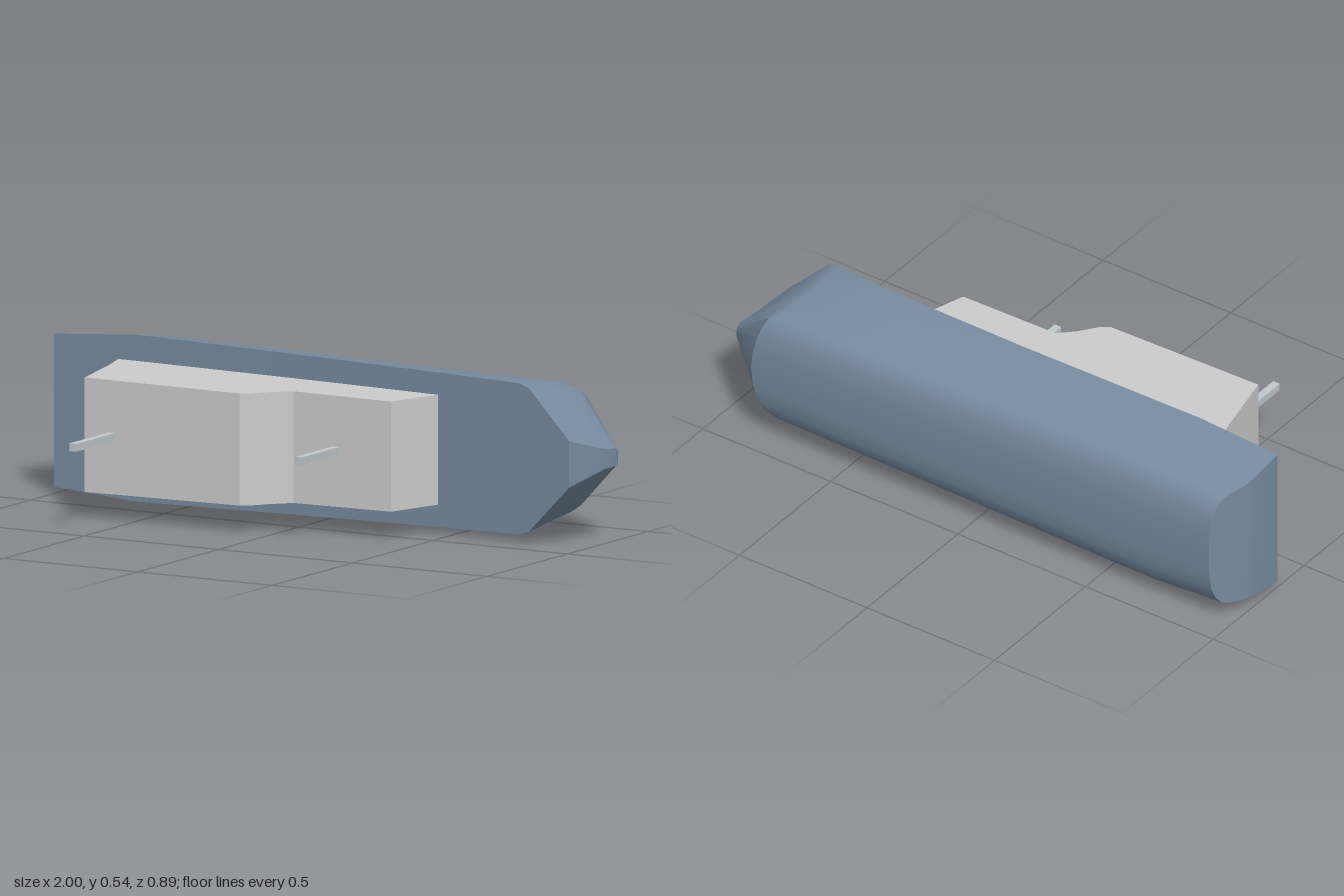
import * as THREE from 'three';
import { toCreasedNormals } from 'three/addons/utils/BufferGeometryUtils.js';

const MID = 0.27; // height of the hull's plane of symmetry

// The boat lies on its side: bow toward +x, deck toward +z, beam along y.
// Each level of a half section: [share of half beam, z, bow-ward shift at the shoulder]
const LEVELS = [
  [1, null, 0], [0.935, -0.25, 0], [0.9, -0.31, 0.01], [0.86, -0.37, 0.02], [0.8, -0.4, 0.035],
  [0.69, -0.422, 0.05], [0.52, -0.437, 0.07], [0.28, -0.444, 0.09], [0, -0.445, 0.1],
];
// Each station: [x, half beam, deck z, share of the shoulder shift]
const STATIONS = [
  [-1, 0.248, -0.145, 0], [-0.7, 0.27, -0.15, 0], [-0.6, 0.269, -0.15, 0], [0, 0.258, -0.143, 0],
  [0.45, 0.25, -0.129, 0], [0.75, 0.245, -0.113, 0.85], [0.79, 0.232, -0.111, 0.6],
];
// Stem, level by level: [x, half width, z]
const STEM = [
  [0.945, 0.075, -0.102], [0.99, 0.032, -0.25], [1, 0.029, -0.3], [0.999, 0.026, -0.308], [0.998, 0.022, -0.313],
  [0.997, 0.017, -0.317], [0.996, 0.011, -0.32], [0.995, 0.006, -0.322], [0.995, 0, -0.323],
];

function hullGeometry() {
  // Mirror a half section into a full ring, from one deck edge round the keel to the other
  const ring = (half) => [
    ...half.map(([x, w, z]) => [x, MID + w, z]),
    ...half.slice(0, -1).reverse().map(([x, w, z]) => [x, MID - w, z]),
  ];
  const rings = STATIONS.map(([x, beam, deck, shift], i) => ring(LEVELS.map(([share, z, s]) => {
    const depth = z ?? deck;
    // The transom is cut away below
    const cut = i === 0 ? 0.055 * Math.max(0, (-0.3 - depth) / 0.145) : 0;
    return [x + cut + s * shift, beam * share, depth];
  })));
  rings.push(ring(STEM));

  const n = rings[0].length - 1, last = rings.length - 1, pos = [];
  const quad = (a, b, c, d) => pos.push(...a, ...b, ...c, ...a, ...c, ...d);
  for (let i = 0; i < last; i++) {
    const A = rings[i], B = rings[i + 1];
    for (let k = 0; k < n; k++) quad(A[k], B[k], B[k + 1], A[k + 1]); // shell
    quad(A[n], B[n], B[0], A[0]); // deck
  }
  // Bow face and transom, in strips from side to side
  for (let k = 0; k < n / 2; k++) {
    const B = rings[last], S = rings[0];
    quad(B[k + 1], B[k], B[n - k], B[n - k - 1]);
    quad(S[n - k - 1], S[n - k], S[k], S[k + 1]);
  }
  const geo = new THREE.BufferGeometry();
  geo.setAttribute('position', new THREE.Float32BufferAttribute(pos, 3));
  return toCreasedNormals(geo, 0.5);
}

// Stepped superstructure, slightly narrower toward the bow
function cabinGeometry() {
  const profile = [
    [-0.768, -0.17], [0.445, -0.17], [0.44, -0.13], [0.38, 0.062], [0.02, 0.066],
    [-0.03, 0.115], [-0.075, 0.175], [-0.105, 0.195], [-0.675, 0.205], [-0.725, -0.02],
  ];
  const shape = new THREE.Shape(profile.map(([x, z]) => new THREE.Vector2(x, z)));
  const geo = new THREE.ExtrudeGeometry(shape, { depth: 2, bevelEnabled: false });
  geo.translate(0, 0, -1).rotateX(Math.PI / 2);
  const p = geo.attributes.position;
  for (let i = 0; i < p.count; i++) {
    const half = 0.186 - 0.008 * (p.getX(i) + 0.768) / 1.2;
    p.setY(i, MID + p.getY(i) * half);
  }
  geo.computeVertexNormals();
  return geo;
}

export function createModel() {
  const group = new THREE.Group();
  const add = (name, geo, color) => {
    const mesh = new THREE.Mesh(geo, new THREE.MeshStandardMaterial({ color }));
    mesh.name = name;
    group.add(mesh);
    return mesh;
  };

  add('hull', hullGeometry(), 0x778ba0);
  add('cabin', cabinGeometry(), 0xcccccc);

  // Square masts: [name, x, foot z, tip z]
  for (const [name, x, foot, tip] of [['aftMast', -0.575, 0.19, 0.445], ['foreMast', 0.175, 0.05, 0.295]]) {
    add(name, new THREE.BoxGeometry(0.025, 0.025, tip - foot), 0xc0c8cc)
      .position.set(x, MID + 0.002, (foot + tip) / 2);
  }
  return group;
}
